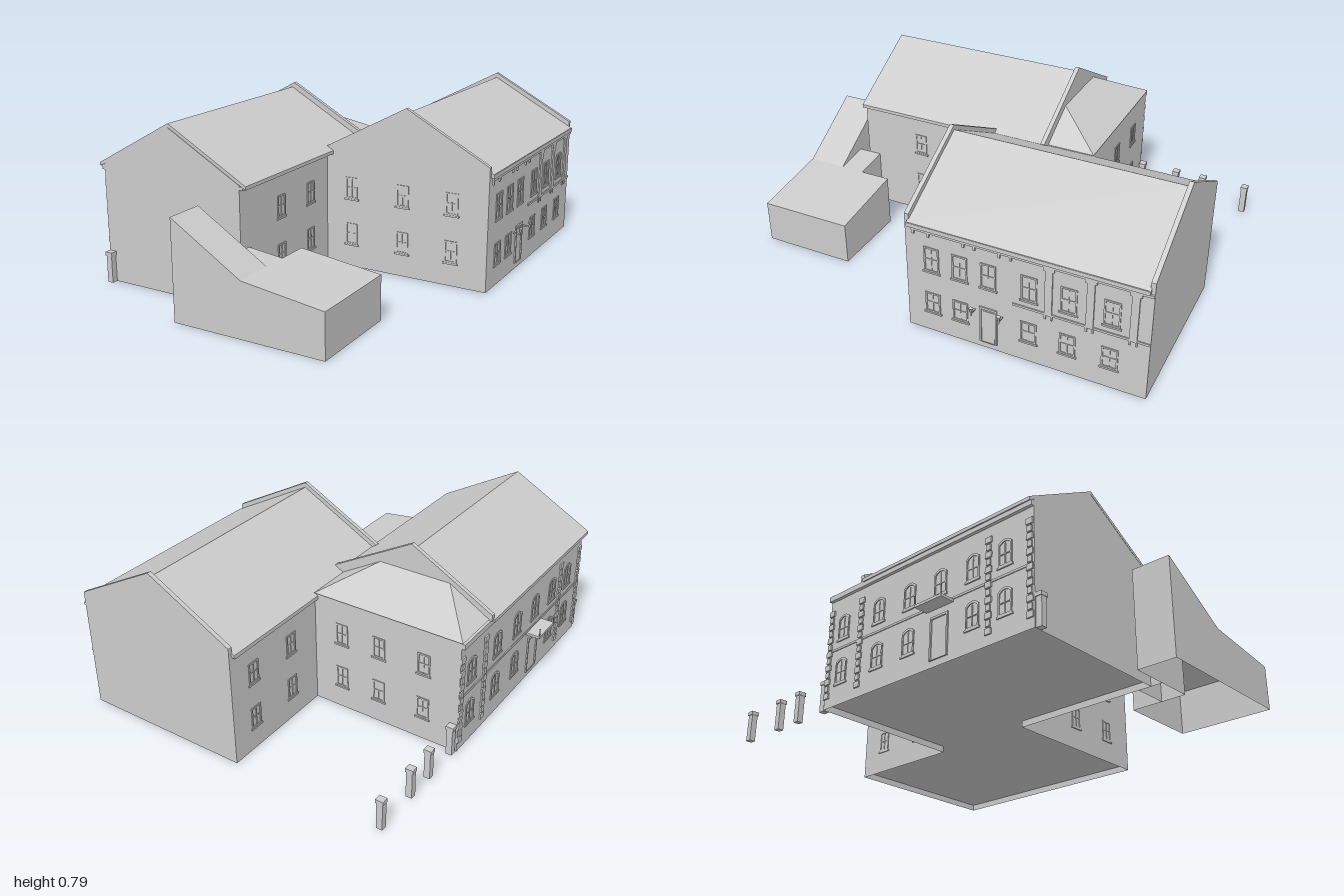
import * as THREE from 'three';

const material = new THREE.MeshStandardMaterial({ color: 0xcccccc, flatShading: true, side: THREE.DoubleSide });

function add(parent, name, geometry, x = 0, y = 0, z = 0) {
  const mesh = new THREE.Mesh(geometry, material);
  mesh.name = name;
  mesh.position.set(x, y, z);
  parent.add(mesh);
  return mesh;
}

// Box given by its minimum and maximum on each axis
function block(parent, name, x0, x1, y0, y1, z0, z1) {
  return add(parent, name, new THREE.BoxGeometry(x1 - x0, y1 - y0, z1 - z0),
    (x0 + x1) / 2, (y0 + y1) / 2, (z0 + z1) / 2);
}

const shapeOf = (points) => new THREE.Shape(points.map(([x, y]) => new THREE.Vector2(x, y)));

// Front profile extruded between two z positions
function prism(parent, name, points, z0, z1) {
  const geometry = new THREE.ExtrudeGeometry(shapeOf(points), { depth: z1 - z0, bevelEnabled: false });
  return add(parent, name, geometry, 0, 0, z0);
}

// Flat faces, each a convex loop of corners
function faces(parent, name, loops) {
  const positions = [];
  for (const loop of loops)
    for (let i = 1; i < loop.length - 1; i++) positions.push(...loop[0], ...loop[i], ...loop[i + 1]);
  const geometry = new THREE.BufferGeometry();
  geometry.setAttribute('position', new THREE.Float32BufferAttribute(positions, 3));
  geometry.computeVertexNormals();
  return add(parent, name, geometry);
}

// Upright walls along a path of [x, z, top height]
const wallLoops = (path, y0 = 0) => path.slice(1).map(([x, z, h], i) => {
  const [px, pz, ph] = path[i];
  return [[px, y0, pz], [x, y0, z], [x, h, z], [px, ph, pz]];
});

const gable = (x0, x1, base, eave, ridge) =>
  [[x0, base], [x1, base], [x1, eave], [(x0 + x1) / 2, ridge], [x0, eave]];
const chevron = (x0, x1, eave, ridge, t) =>
  [[x0, eave - t], [(x0 + x1) / 2, ridge - t], [x1, eave - t], [x1, eave], [(x0 + x1) / 2, ridge], [x0, eave]];

function openingShape(w, h, arched) {
  const s = new THREE.Shape();
  s.moveTo(-w / 2, 0);
  s.lineTo(w / 2, 0);
  s.lineTo(w / 2, h);
  if (arched) s.quadraticCurveTo(0, h + w * 0.5, -w / 2, h);
  else s.lineTo(-w / 2, h);
  s.closePath();
  return s;
}

// Framed window with glazing bars and a sill
function addWindow(wall, u, y, w, h, arched = false) {
  const g = new THREE.Group();
  g.name = 'window';
  g.position.set(u, y, 0);
  const frame = openingShape(w, h, arched);
  const hole = openingShape(w - 0.014, h - 0.014, arched);
  frame.holes.push(new THREE.Path(hole.getPoints().map((p) => p.add(new THREE.Vector2(0, 0.007)))));
  add(g, 'windowFrame', new THREE.ExtrudeGeometry(frame, { depth: 0.004, bevelEnabled: false, curveSegments: 6 }));
  block(g, 'mullion', -0.002, 0.002, 0, h, 0, 0.003);
  block(g, 'transom', -w / 2, w / 2, h * 0.5, h * 0.5 + 0.004, 0, 0.003);
  block(g, 'sill', -w / 2 - 0.006, w / 2 + 0.006, -0.008, 0, 0, 0.006);
  wall.add(g);
}

function addDoor(wall, u, w, h) {
  const frame = openingShape(w, h, false);
  frame.holes.push(openingShape(w - 0.016, h - 0.01, false));
  add(wall, 'doorFrame', new THREE.ExtrudeGeometry(frame, { depth: 0.006, bevelEnabled: false }), u, 0.03, 0);
  block(wall, 'doorLeaf', u - w / 2 + 0.012, u + w / 2 - 0.012, 0.03, h + 0.01, 0, 0.002);
}

// Group whose local x runs along a wall and local z points out of it
function wallGroup(parent, name, x, z, turn) {
  const g = new THREE.Group();
  g.name = name;
  g.position.set(x, 0, z);
  g.rotation.y = turn;
  parent.add(g);
  return g;
}

export function createModel() {
  const model = new THREE.Group();
  model.name = 'building';

  // Foot of the walls around a slightly raised floor
  const outline = [[-0.75, 0.765], [-0.03, 0.765], [-0.03, 0.07], [0.77, 0.07],
    [0.77, -1], [-0.03, -1], [-0.03, -0.43], [-0.75, -0.43]];
  faces(model, 'wallFoot', wallLoops([...outline, outline[0]].map(([x, z]) => [x, z, 0.03])));

  // East wing: body, roof and the two raised gables
  prism(model, 'eastWing', gable(-0.03, 0.77, 0.03, 0.53, 0.735), -0.99, 0.06);
  prism(model, 'eastRoof', chevron(-0.045, 0.785, 0.532, 0.757, 0.018), -0.985, 0.055);
  for (const [z0, z1] of [[-1, -0.98], [0.05, 0.07]])
    prism(model, 'eastGable', gable(-0.03, 0.77, 0.03, 0.565, 0.78), z0, z1);

  // West wing: body, roof and raised rear gable
  prism(model, 'westWing', gable(-0.75, -0.03, 0.03, 0.545, 0.745), -0.2, 0.765);
  prism(model, 'westRoof', chevron(-0.777, 0.002, 0.545, 0.762, 0.016), -0.2, 0.765);
  prism(model, 'westGable', gable(-0.77, 0.015, 0.54, 0.568, 0.785), -0.213, -0.193);

  // Rear link with a hipped roof
  block(model, 'rearLink', -0.75, -0.03, 0.03, 0.545, -0.43, -0.2);
  const [a, b, c, d, e, f] = [[-0.757, 0.545, -0.2], [-0.757, 0.545, -0.435], [-0.03, 0.545, -0.435],
    [-0.03, 0.545, -0.2], [-0.56, 0.66, -0.205], [-0.23, 0.66, -0.205]];
  faces(model, 'hippedRoof', [[a, e, b], [b, e, f, c], [c, f, d]]);

  // Annex with a kinked sloping roof and a small lean-to, open below
  const hi = 0.45, mid = 0.247, low = 0.2;
  faces(model, 'annex', [
    ...wallLoops([[-0.2, 1, hi], [0.135, 1, mid], [0.515, 1, low], [0.515, 0.56, low],
      [0.135, 0.56, mid], [0.135, 0.82, mid], [-0.2, 0.82, hi], [-0.2, 1, hi]]),
    [[-0.2, hi, 1], [0.135, mid, 1], [0.135, mid, 0.82], [-0.2, hi, 0.82]],
    [[0.135, mid, 1], [0.515, low, 1], [0.515, low, 0.56], [0.135, mid, 0.56]]]);
  faces(model, 'annexLeanTo', [
    ...wallLoops([[0.135, 0.705, mid], [-0.03, 0.705, 0.265], [-0.03, 0.82, 0.265]]),
    [[-0.03, 0.265, 0.82], [0.135, mid, 0.82], [0.135, mid, 0.705], [-0.03, 0.265, 0.705]]]);

  // West front: local x equals z
  const west = wallGroup(model, 'westFront', -0.75, 0, -Math.PI / 2);
  for (const z of [-0.33, -0.1, 0.09, 0.27, 0.45, 0.62]) {
    addWindow(west, z, 0.31, 0.07, 0.1, true);
    if (z !== 0.27) addWindow(west, z, 0.1, 0.07, 0.1, true);
  }
  addDoor(west, 0.27, 0.1, 0.19);
  for (const z of [-0.415, -0.215, 0.535, 0.745])
    for (let i = 0; i < 13; i++) {
      const half = i % 2 ? 0.011 : 0.016;
      block(west, 'quoin', z - half, z + half, 0.045 + i * 0.033, 0.071 + i * 0.033, 0, 0.007);
    }
  block(west, 'stringCourse', -0.43, 0.765, 0.262, 0.272, 0, 0.004);
  block(west, 'cornice', -0.43, 0.765, 0.515, 0.54, 0, 0.015);
  block(west, 'canopy', 0.193, 0.345, 0.252, 0.264, 0, 0.068);
  for (const z of [0.195, 0.343]) block(west, 'canopyPost', z - 0.002, z + 0.002, 0.26, 0.305, 0.064, 0.068);

  // East front: local x equals -z
  const east = wallGroup(model, 'eastFront', 0.77, 0, Math.PI / 2);
  block(east, 'cornice', -0.05, 0.98, 0.515, 0.535, 0, 0.014);
  block(east, 'frieze', -0.04, 1, 0.5, 0.512, 0, 0.008);
  block(east, 'stringCourse', 0.42, 1, 0.268, 0.278, 0, 0.005);
  for (const u of [0.575, 0.75, 0.93]) {
    block(east, 'pilaster', u - 0.016, u + 0.016, 0.268, 0.5, 0, 0.006);
    block(east, 'pilasterCap', u - 0.024, u + 0.024, 0.485, 0.5, 0, 0.008);
    for (const s of [-0.014, 0.014]) block(east, 'pilasterFoot', u + s - 0.004, u + s + 0.004, 0.248, 0.268, 0, 0.005);
  }
  for (const u of [-0.03, 0.04, 0.2, 0.25, 0.36, 0.41]) block(east, 'bracket', u - 0.005, u + 0.005, 0.482, 0.5, 0, 0.007);
  for (const u of [0.05, 0.18, 0.31, 0.49, 0.66, 0.84]) {
    addWindow(east, u, 0.31, 0.07, 0.12);
    if (u !== 0.31) addWindow(east, u, 0.1, 0.07, 0.1);
  }
  addDoor(east, 0.31, 0.08, 0.18);
  for (const u of [0.247, 0.372]) {
    block(east, 'lampArm', u - 0.003, u + 0.003, 0.182, 0.188, 0, 0.036);
    block(east, 'lampStem', u - 0.003, u + 0.003, 0.175, 0.196, 0.03, 0.036);
    add(east, 'lampHead', new THREE.CylinderGeometry(0.01, 0.006, 0.02, 8), u, 0.203, 0.034);
  }

  // Plain windows on the other walls
  const plainWalls = [
    ['southWall', 0, 0.07, 0, [0.1, 0.36, 0.6]],
    ['courtWall', -0.03, 0, Math.PI / 2, [-0.46, -0.22]],
    ['linkWall', 0, -0.43, Math.PI, [0.17, 0.36, 0.58]],
    ['rearCourtWall', -0.03, 0, -Math.PI / 2, [-0.86, -0.61]],
  ];
  for (const [name, x, z, turn, spots] of plainWalls) {
    const wall = wallGroup(model, name, x, z, turn);
    for (const u of spots) for (const y of [0.11, 0.33]) addWindow(wall, u, y, 0.06, 0.1);
  }
  block(model, 'rearGutter', -0.045, -0.03, 0.515, 0.53, -0.98, -0.43);
  block(model, 'courtGutter', -0.03, -0.012, 0.525, 0.54, 0.07, 0.765);

  // Gate posts beside the west front
  for (const z of [-0.985, -0.77, -0.63, -0.45, 0.78]) {
    const post = new THREE.Group();
    post.name = 'gatePost';
    post.position.set(-0.732, 0, z);
    block(post, 'postShaft', -0.014, 0.014, 0, 0.125, -0.014, 0.014);
    block(post, 'postCap', -0.018, 0.018, 0.125, 0.142, -0.016, 0.016);
    model.add(post);
  }
  // Floor underside
  const floor = add(model, 'floor', new THREE.ShapeGeometry(shapeOf(outline)), 0, 0.03, 0);
  floor.rotation.x = Math.PI / 2;
  return model;
}
